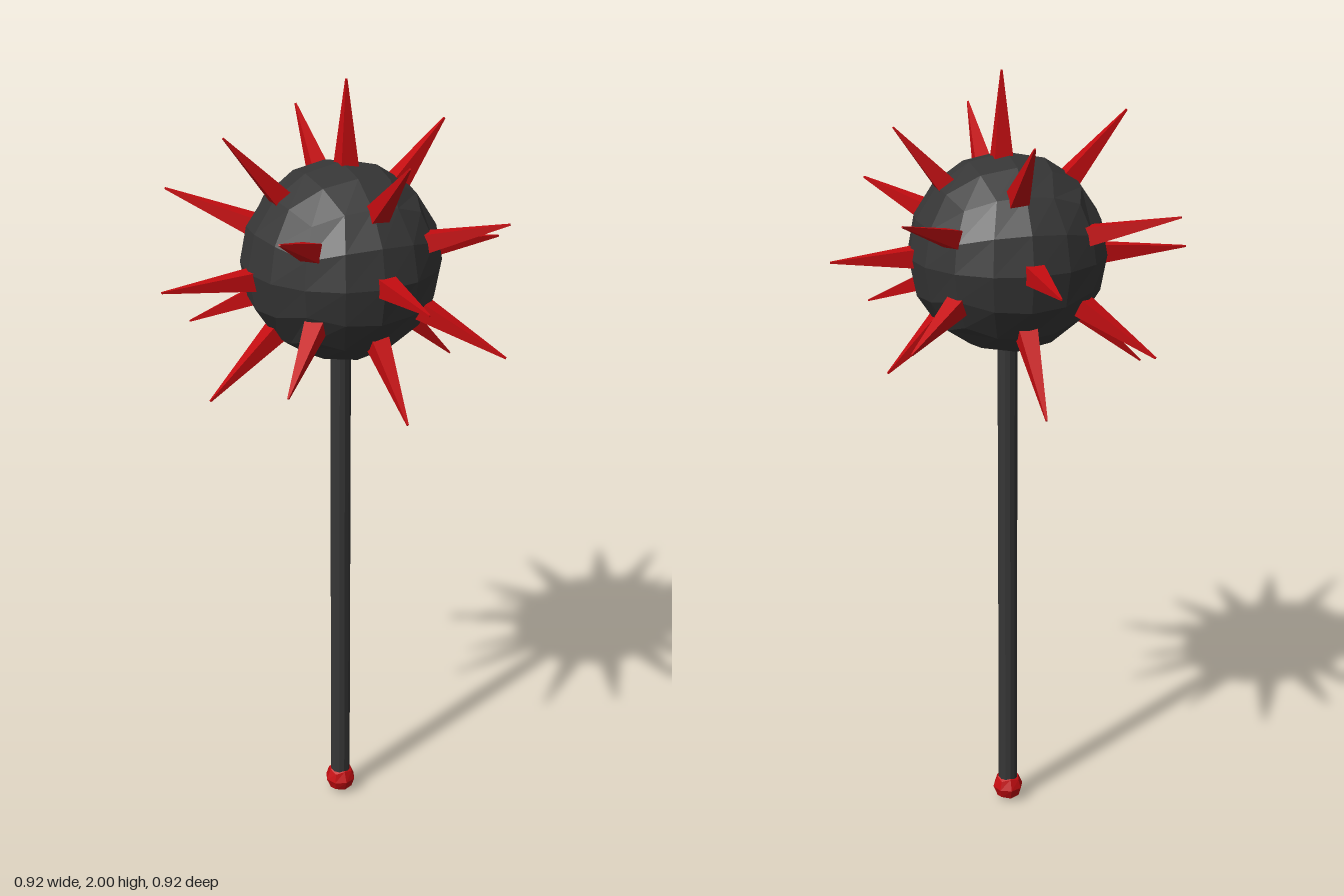
import * as THREE from 'three';

const iron = new THREE.MeshStandardMaterial({ color: 0x363636 });
iron.name = 'dark iron';
const red = new THREE.MeshStandardMaterial({ color: 0xc40c10 });
red.name = 'red';

const CENTRE = new THREE.Vector3(0.012, 1.55, 0);

// Give every face its own flat normal
function faceted(geometry) {
  const flat = geometry.toNonIndexed();
  flat.computeVertexNormals();
  return flat;
}

// Ball made from a box whose grid is spread evenly over a sphere
function quadSphere(radius, segments) {
  const geometry = new THREE.BoxGeometry(2, 2, 2, segments, segments, segments);
  const p = geometry.attributes.position;
  const v = new THREE.Vector3();
  const spread = (t) => Math.tan((t * Math.PI) / 4);
  for (let i = 0; i < p.count; i++) {
    v.fromBufferAttribute(p, i);
    v.set(spread(v.x), spread(v.y), spread(v.z)).setLength(radius);
    p.setXYZ(i, v.x, v.y, v.z);
  }
  return faceted(geometry);
}

// Four-sided spike running out of the ball to the given tip
function makeSpike(x, y, z) {
  const tip = new THREE.Vector3(x, y, z);
  const origin = CENTRE.clone();
  // Spikes nearly in line with an axis run parallel to it
  for (const axis of ['x', 'y', 'z']) {
    if (Math.abs(tip[axis] - origin[axis]) < 0.04) origin[axis] = tip[axis];
  }
  const reach = tip.distanceTo(origin);
  const start = 0.222;
  const geometry = new THREE.CylinderGeometry(0.003, 0.025 * Math.SQRT2, reach - start, 4);
  geometry.rotateY(Math.PI / 4);
  geometry.translate(0, (reach + start) / 2, 0);
  geometry.rotateX(Math.PI / 2);
  const spike = new THREE.Mesh(faceted(geometry), red);
  spike.position.copy(origin);
  spike.lookAt(tip);
  spike.name = 'spike';
  return spike;
}

const SPIKE_TIPS = [
  // top
  [0.025, 2, 0],
  // level ring
  [-0.46, 1.533, 0], [0.457, 1.553, 0], [0.02, 1.553, 0.46], [0.008, 1.553, -0.46],
  // raised, towards the four sides
  [-0.293, 1.89, -0.002], [0.295, 1.876, -0.006], [0.025, 1.865, 0.34], [0.03, 1.87, -0.314],
  // lowered, towards the four sides
  [-0.346, 1.236, 0.005], [0.32, 1.257, 0.005], [0.028, 1.236, 0.344], [0.01, 1.225, -0.354],
  // raised, towards the four corners
  [-0.327, 1.69, -0.32], [0.335, 1.7, -0.28], [-0.29, 1.723, 0.32], [0.308, 1.69, 0.312],
  // lowered, towards the four corners
  [-0.282, 1.338, -0.293], [0.32, 1.394, -0.286], [-0.275, 1.35, 0.325], [0.302, 1.357, 0.326],
];

export function createModel() {
  const mace = new THREE.Group();
  mace.name = 'spikedMace';

  const head = new THREE.Mesh(quadSphere(0.25, 4), iron);
  head.name = 'head';
  head.position.copy(CENTRE);

  const handle = new THREE.Mesh(faceted(new THREE.CylinderGeometry(0.026, 0.026, 1.3, 12)), iron);
  handle.name = 'handle';
  handle.position.set(0.011, 0.7, 0);

  const pommel = new THREE.Mesh(quadSphere(0.041, 2), red);
  pommel.name = 'pommel';
  pommel.position.set(0.011, 0.041, 0);

  const spikes = new THREE.Group();
  spikes.name = 'spikes';
  for (const tip of SPIKE_TIPS) spikes.add(makeSpike(...tip));

  mace.add(head, handle, pommel, spikes);
  return mace;
}
